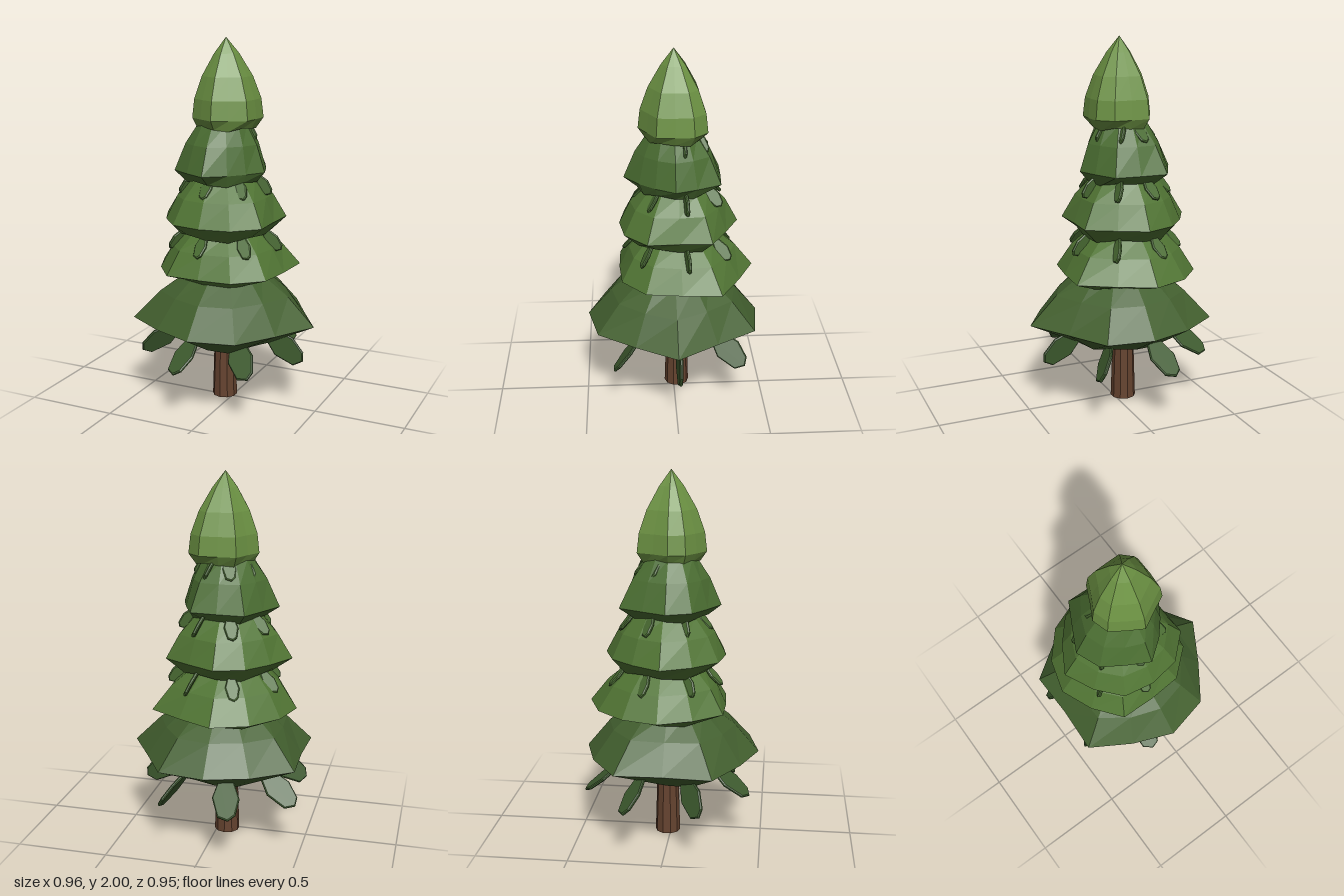
import * as THREE from 'three';

const paint = (color) => new THREE.MeshStandardMaterial({ color, flatShading: true });

// Lofts a tier: every ring blends a circle with the uneven rim, whose radii sit at equal angles.
// ring = [y, circle radius, blend towards the rim, waviness]
function tierGeometry(rim, rings) {
  const n = rim.length, pos = [], index = [];
  for (const [y, r, blend, wave] of rings) {
    rim.forEach((rimRadius, i) => {
      const a = i / n * Math.PI * 2, d = THREE.MathUtils.lerp(r, rimRadius, blend);
      pos.push(d * Math.cos(a), y + wave * Math.sin(i * 2.1), d * Math.sin(a));
    });
  }
  for (let i = 0; i < rings.length - 1; i++) {
    for (let j = 0; j < n; j++) {
      const a = i * n + j, d = i * n + (j + 1) % n, b = a + n, c = d + n;
      index.push(a, c, b, a, d, c);
    }
  }
  const g = new THREE.BufferGeometry();
  g.setAttribute('position', new THREE.Float32BufferAttribute(pos, 3));
  g.setIndex(index);
  g.computeVertexNormals();
  return g;
}

// Profile shared by the skirt-like tiers: closed top, shoulder, sloping side, rim, tucked-in hem
const skirt = (topY, topR, rimY, hemY, hemR) => [
  [topY + 0.04, 0, 0, 0], [topY, topR, 0, 0],
  [rimY + (topY - rimY) * 0.58, topR * 1.13, 0.46, 0],
  [rimY, 0, 1, 0], [hemY, hemR, 0.2, 0.012], [hemY + 0.035, 0, 0, 0],
];
// Bulging pointed cap for the top of the tree
const cap = (topY, rimY, hemY, hemR) => [
  [topY, 0, 0, 0],
  ...[0.2, 0.48, 0.76, 1].map((t) => [topY + (rimY - topY) * t, 0, Math.sin(t * Math.PI / 2) ** 0.9, 0]),
  [hemY, hemR, 0.4, 0.01], [hemY + 0.03, 0, 0, 0],
];

// Adds one tier centred on (x, z)
function addTier(tree, name, color, x, z, rings, rim) {
  const tier = new THREE.Mesh(tierGeometry(rim, rings), paint(color));
  tier.name = name;
  tier.position.set(x, 0, z);
  tree.add(tier);
}

// Pointed blade lying along x with its tip at the origin
function bladeGeometry(length, width) {
  const w = width / 2, t = 0.018;
  const s = new THREE.Shape([[0, 0.15], [-0.12, 0.7], [-0.5, 1], [-1, 0.5], [-1, -0.5], [-0.55, -1], [-0.1, -0.6]]
    .map(([x, y]) => new THREE.Vector2(x * length, y * w)));
  const g = new THREE.ExtrudeGeometry(s, {
    depth: t * 0.4, bevelThickness: t * 0.3, bevelSize: t * 0.3, bevelOffset: -t * 0.3, bevelSegments: 1 });
  g.translate(0, 0, -t * 0.2);
  return g.rotateX(-Math.PI / 2);
}

// Ring of seven drooping blades, each rolled differently around its own axis
const ROLLS = [1.45, 0.6, 0.15, 1.1, 0.5, 0.1, 0.9];
function addBlades(tree, name, color, geometry, { y, radius, z, turn, slope }) {
  const group = new THREE.Group(), material = paint(color);
  group.name = name;
  group.position.set(-0.05, y, z);
  ROLLS.forEach((roll, i) => {
    const a = i / ROLLS.length * Math.PI * 2 + turn;
    const blade = new THREE.Mesh(geometry, material);
    blade.name = 'blade';
    blade.position.set(radius * Math.cos(a), 0, radius * Math.sin(a));
    // yaw outwards, pitch down, then roll
    blade.rotation.set(roll, -a, -slope, 'YZX');
    group.add(blade);
  });
  tree.add(group);
}

export function createModel() {
  const tree = new THREE.Group();
  tree.name = 'pineTree';

  // Trunk
  const trunk = new THREE.Mesh(new THREE.CylinderGeometry(0.05, 0.069, 0.6, 10), paint(0x65432f));
  trunk.name = 'trunk';
  trunk.position.set(-0.053, 0.3, -0.018);
  tree.add(trunk);

  // Foliage tiers, from the bottom up
  addTier(tree, 'bottomTier', 0x43602f, -0.033, 0, skirt(0.74, 0.21, 0.48, 0.35, 0.18),
    [0.516, 0.444, 0.49, 0.48, 0.45, 0.514, 0.432, 0.506, 0.457, 0.467, 0.5, 0.437]);
  addTier(tree, 'lowerTier', 0x517534, -0.06, -0.03, skirt(0.97, 0.2, 0.755, 0.705, 0.23),
    [0.354, 0.38, 0.366, 0.33, 0.375, 0.352, 0.378, 0.374, 0.386, 0.41, 0.368, 0.422]);
  addTier(tree, 'middleTier', 0x517534, -0.055, -0.02, skirt(1.25, 0.18, 1.03, 0.955, 0.22),
    [0.29, 0.341, 0.334, 0.316, 0.33, 0.318, 0.352, 0.304, 0.315, 0.33, 0.294, 0.341]);
  addTier(tree, 'upperTier', 0x4b6e32, -0.05, 0, skirt(1.55, 0.135, 1.3, 1.245, 0.18),
    [0.24, 0.205, 0.214, 0.267, 0.235, 0.264, 0.28, 0.25, 0.295, 0.252, 0.281, 0.23]);
  addTier(tree, 'topTier', 0x6c9243, -0.035, 0, cap(2, 1.58, 1.53, 0.13),
    [0.175, 0.194, 0.164, 0.187, 0.162, 0.18, 0.182, 0.16, 0.195, 0.172, 0.2, 0.2]);

  // Large blades under the lowest tier, small sprigs between the others
  addBlades(tree, 'hangingLeaves', 0x3d5a2e, bladeGeometry(0.25, 0.145),
    { y: 0.26, radius: 0.46, z: -0.015, turn: 0, slope: 0.65 });
  const sprig = bladeGeometry(0.14, 0.075);
  for (const [y, radius] of [[0.865, 0.31], [1.17, 0.25], [1.46, 0.165]]) {
    addBlades(tree, 'sprigs', 0x4a6c33, sprig, { y, radius, z: -0.03, turn: -0.13, slope: 0.85 });
  }

  return tree;
}
